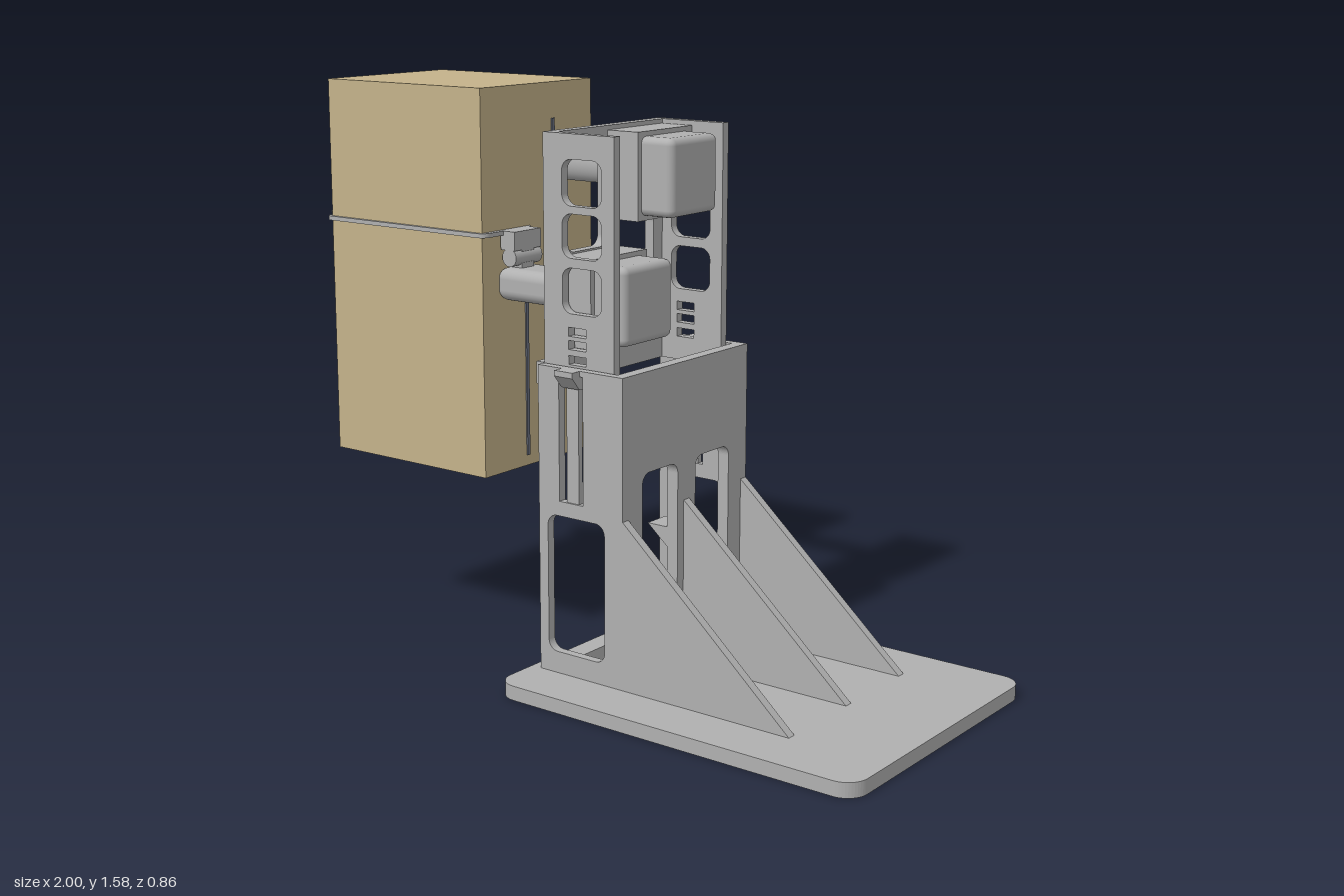
import * as THREE from 'three';
import { RoundedBoxGeometry } from 'three/addons/geometries/RoundedBoxGeometry.js';

export function createModel() {
  const model = new THREE.Group();
  const mat = (name, color) => {
    const m = new THREE.MeshStandardMaterial({ color });
    m.name = name;
    return m;
  };
  const grey = mat('machine grey', 0xb0b0b0);
  const tan = mat('cardboard tan', 0xc4b28a);
  const dark = mat('slit grey', 0x6a7080);

  const add = (name, geo, x = 0, y = 0, z = 0, m = grey) => {
    const mesh = new THREE.Mesh(geo, m);
    mesh.name = name;
    mesh.position.set(x, y, z);
    model.add(mesh);
    return mesh;
  };
  // Box given by its limits
  const box = (name, x0, x1, y0, y1, z0, z1, m = grey) =>
    add(name, new THREE.BoxGeometry(x1 - x0, y1 - y0, z1 - z0),
      (x0 + x1) / 2, (y0 + y1) / 2, (z0 + z1) / 2, m);

  // Rounded rectangle outline [u0, u1, v0, v1, radius]
  const outline = ([u0, u1, v0, v1, r = 0], P = THREE.Shape) => {
    const s = new P();
    if (!r) {
      s.moveTo(u0, v0); s.lineTo(u1, v0); s.lineTo(u1, v1); s.lineTo(u0, v1); s.closePath();
      return s;
    }
    s.absarc(u1 - r, v0 + r, r, -Math.PI / 2, 0);
    s.absarc(u1 - r, v1 - r, r, 0, Math.PI / 2);
    s.absarc(u0 + r, v1 - r, r, Math.PI / 2, Math.PI);
    s.absarc(u0 + r, v0 + r, r, Math.PI, Math.PI * 1.5);
    s.closePath();
    return s;
  };
  const plate = (rect, holes, depth) => {
    const s = outline(rect);
    for (const h of holes) s.holes.push(outline(h, THREE.Path));
    return new THREE.ExtrudeGeometry(s, { depth, bevelEnabled: false, curveSegments: 6 });
  };
  const poly = (points, depth) => new THREE.ExtrudeGeometry(
    new THREE.Shape(points.map(p => new THREE.Vector2(...p))), { depth, bevelEnabled: false });
  // Plate across the tower: u runs along z, thickness from x1 towards -x
  const crossPlate = (name, rect, holes, x1, depth) => {
    add(name, plate(rect, holes, depth), x1).rotation.y = -Math.PI / 2;
  };

  // Base with an opening below the tower
  add('base', plate([-0.11, 1, -0.43, 0.43, 0.06], [[-0.05, 0.1, -0.22, 0.22, 0.02]], 0.04))
    .rotation.x = -Math.PI / 2;

  // Lower tower, open towards the load
  crossPlate('lowerFrontPlate', [-0.28, 0.28, 0.04, 0.88],
    [[0.04, 0.195, 0.19, 0.61, 0.03], [-0.195, -0.04, 0.19, 0.61, 0.03]], 0.2, 0.035);
  box('lowerCrossbar', -0.11, -0.08, 0.82, 0.88, -0.25, 0.25);
  for (const s of [-1, 1]) {
    add('lowerSidePlate', plate([-0.08, 0.165, 0.04, 0.88],
      [[-0.05, 0.14, 0.1, 0.48, 0.03], [-0.01, 0.07, 0.52, 0.865]], 0.025),
      0, 0, s > 0 ? 0.255 : -0.28);
    box('latchTongue', 0.012, 0.052, 0.52, 0.87, s * 0.267 - 0.008, s * 0.267 + 0.008);
    // Wedge-shaped release tab
    const tab = add('latchTab', poly([[0.255, 0.83], [0.28, 0.83], [0.31, 0.865], [0.31, 0.88], [0.255, 0.88]], 0.06),
      s > 0 ? 0.06 : 0, 0, 0);
    tab.rotation.y = -s * Math.PI / 2;
  }

  // Sloped fins and the small inner hook
  for (const z of [-0.28, -0.0125, 0.255])
    add('fin', poly([[0.2, 0.04], [0.72, 0.04], [0.2, 0.5]], 0.025), 0, 0, z);
  add('innerHook', poly([[0.165, 0.37], [0.165, 0.425], [0.1, 0.425]].reverse(), 0.08), 0, 0, -0.04);

  // Upper frame
  const screws = [];
  for (const [cz, cy] of [[-0.1, 1.355], [0.1, 1.04]])
    for (const a of [-1, 1])
      for (const b of [-1, 1]) {
        const z = cz + a * 0.075, y = cy + b * 0.075;
        screws.push([z - 0.01, z + 0.01, y - 0.01, y + 0.01, 0.0099]);
      }
  crossPlate('upperBackPlate', [-0.25, 0.25, 0.82, 1.485],
    [[0.025, 0.19, 1.165, 1.44, 0.03], [-0.185, -0.02, 0.96, 1.235, 0.03], ...screws], -0.052, 0.03);
  const sideHoles = [[1.3, 1.42], [1.165, 1.28], [1.02, 1.14]].map(([a, b]) => [-0.02, 0.11, a, b, 0.03]);
  for (const y of [0.885, 0.925, 0.96]) sideHoles.push([0, 0.058, y, y + 0.024]);
  for (const z of [-0.25, 0.225])
    add('upperSidePlate', plate([-0.055, 0.15, 0.82, 1.485], sideHoles, 0.025), 0, 0, z);

  // Drives: square bracket and bevelled motor
  for (const [z, y] of [[-0.1, 1.355], [0.1, 1.042]]) {
    box('motorBracket', -0.053, 0.05, y - 0.118, y + 0.118, z - 0.12, z + 0.12);
    add('motor', new RoundedBoxGeometry(0.12, 0.21, 0.21, 2, 0.02), 0.09, y, z);
  }

  // Arms holding the load
  const upperArm = add('upperArm', new THREE.CylinderGeometry(0.048, 0.048, 0.28, 32), -0.21, 1.357, -0.122);
  upperArm.rotation.z = Math.PI / 2;
  upperArm.scale.z = 0.68;
  add('lowerArm', new RoundedBoxGeometry(0.28, 0.09, 0.14, 4, 0.03), -0.21, 1.045, 0.07);
  for (const [y, z] of [[1.357, -0.155], [1.357, -0.089], [1.042, 0.14]])
    add('armScrew', new THREE.SphereGeometry(0.008, 10, 8), -0.135, y, z);

  // Carried box with guide slits on both ends
  box('carton', -0.91, -0.34, 0.51, 1.58, -0.27, 0.2, tan);
  for (const x of [-0.911, -0.339]) {
    box('upperSlit', x - 0.003, x + 0.003, 1.01, 1.48, -0.105, -0.094, dark);
    box('lowerSlit', x - 0.003, x + 0.003, 0.54, 0.98, 0.014, 0.025, dark);
  }

  // Clamp plate around the carton with a round grip
  const clamp = add('clampPlate', plate([-0.93, -0.325, -0.21, 0, 0.025], [], 0.012), 0, 1.18, 0);
  clamp.rotation.x = -Math.PI / 2;
  add('clampGrip', new THREE.CylinderGeometry(0.045, 0.045, 0.012, 24), -0.955, 1.186, 0.097);

  // Hinge between clamp and lower arm
  box('hingeBlock', -0.335, -0.285, 1.14, 1.192, 0.02, 0.13);
  box('hingePost', -0.325, -0.285, 1.08, 1.15, 0.05, 0.1);
  add('hingePin', new THREE.CylinderGeometry(0.025, 0.025, 0.11, 20), -0.305, 1.12, 0.075)
    .rotation.x = Math.PI / 2;

  return model;
}
